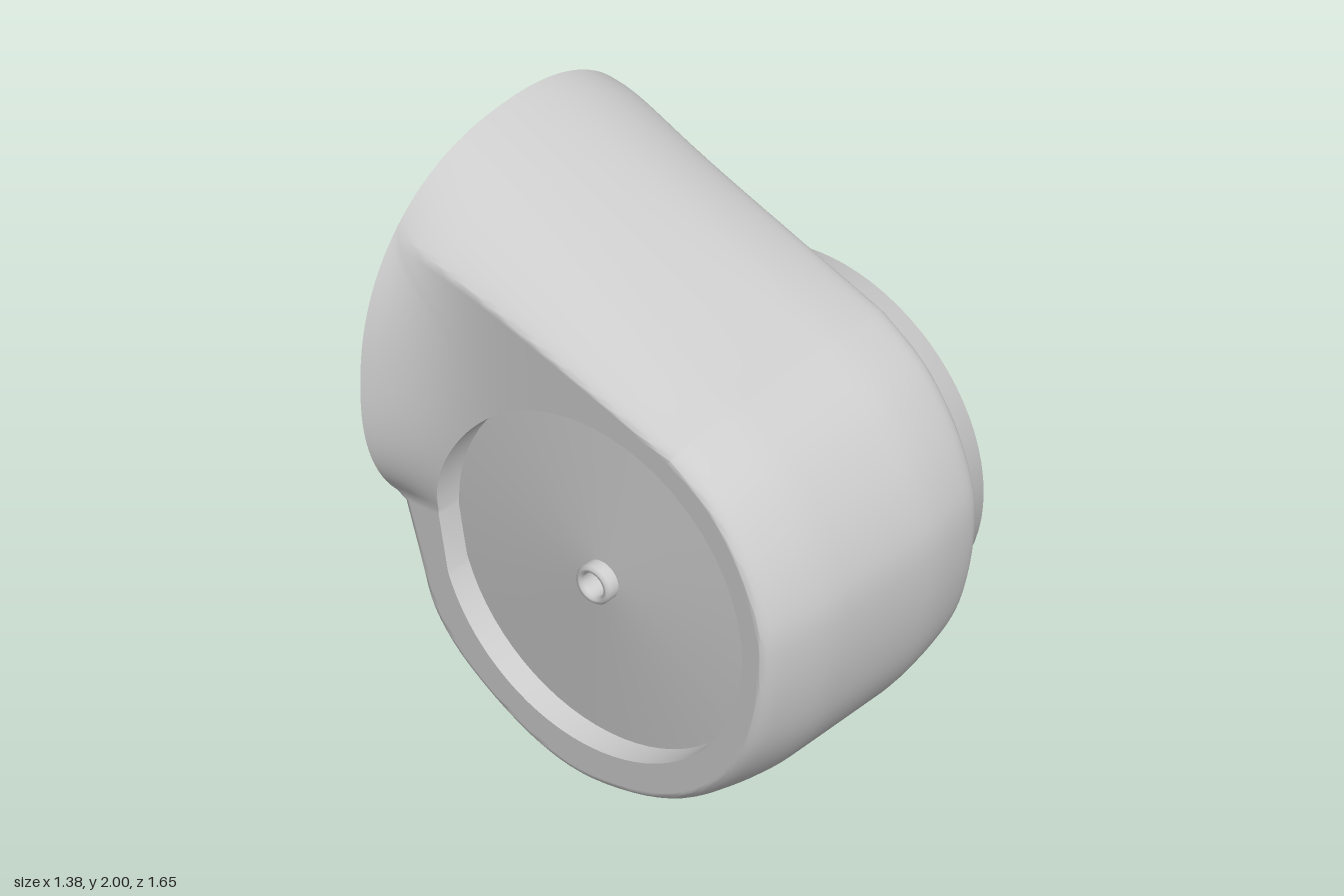
import * as THREE from 'three';
import { toCreasedNormals } from 'three/addons/utils/BufferGeometryUtils.js';

const HUB = { z: 0.07, y: 0.8 };   // axis of the side opening
const HALF = 0.515;                // half width of the housing
const BACK = -0.71;                // plane of the rear flange
const FLANGE_Y = 1.31, FLANGE_R = 0.692, POWER = 2.25;
const OPENING_R = 0.612;

// Rounded outline of the drum seen from the side, as (z, y)
const outline = new THREE.SplineCurve([
  [0.42, 1.49], [0.6, 1.36], [0.73, 1.18], [0.805, 0.99], [0.823, 0.83], [0.80, 0.62],
  [0.74, 0.42], [0.63, 0.25], [0.48, 0.12], [0.3, 0.04], [0.07, 0.003], [-0.11, 0.027],
  [-0.3, 0.11], [-0.5, 0.25], [-0.615, 0.39], [-0.665, 0.53],
].map(([z, y]) => new THREE.Vector2(z, y))).getPoints(60);
const LOWER_SEAM = 48;

// Half size of the flange's squarish circle at a given offset from its centre
const flangeSpan = (d) =>
  FLANGE_R * Math.pow(Math.max(0, 1 - Math.pow(Math.abs(d) / FLANGE_R, POWER)), 1 / POWER);

// Half width of the side wall, flaring out towards the flange
const wallX = (z, y) => HALF +
  Math.max(0, flangeSpan(y - FLANGE_Y) - HALF) * Math.pow(Math.max(0, z / BACK), 5);

// Drum crown: flat middle, sloped shoulder, rounded edge
function crownInset(x) {
  const shoulder = Math.max(0, Math.abs(x) - 0.22) / (HALF - 0.22);
  return 0.065 * Math.pow(shoulder, 1.5) + 0.025 * Math.pow(Math.abs(x) / HALF, 30);
}

// Closed side profile at one x: drum curve, small step, flange plane, sloping top
function profileAt(x) {
  const inset = 1 - crownInset(x);
  const pts = outline.map((p) => [HUB.z + (p.x - HUB.z) * inset, HUB.y + (p.y - HUB.y) * inset]);
  const start = pts[0], span = flangeSpan(x);
  const low = FLANGE_Y - span, high = FLANGE_Y + span;
  pts.push([-0.672, low - 0.02]);
  for (let i = 0; i <= 32; i++) pts.push([BACK, low + (high - low) * i / 32]);
  for (let i = 1; i <= 24; i++) {
    const t = i / 24;
    pts.push([BACK + (start[0] - BACK) * t, high + (start[1] - high) * t]);
  }
  return pts;
}

// Columns across the housing: one side wall, crown, other side wall
function housingColumns() {
  const edge = profileAt(HALF);
  // Ring between the opening (t = 0) and the outer edge (t = 1)
  const ring = (t, xAt) => edge.map(([z, y]) => {
    const d = Math.hypot(z - HUB.z, y - HUB.y);
    const f = (OPENING_R + (d - OPENING_R) * t) / d;
    const pz = HUB.z + (z - HUB.z) * f, py = HUB.y + (y - HUB.y) * f;
    return [xAt(pz, py), py, pz];
  });
  const wall = (side) => {
    const cols = [ring(0, () => side * 0.4)];
    for (let k = 0; k < 12; k++) cols.push(ring(k / 12, (z, y) => side * wallX(z, y)));
    return cols;
  };
  const crown = [];
  for (let k = -14; k <= 14; k++) {
    const s = Math.sin((k / 14) * Math.PI / 2);
    crown.push(profileAt(s * HALF).map(([z, y], i) => [s * wallX(...edge[i]), y, z]));
  }
  return [...wall(-1), ...crown, ...wall(1).reverse()];
}

// Skin a range of profile points across all columns
function skin(columns, from, to) {
  const rows = to - from + 1, position = [], index = [];
  columns.forEach((col) => {
    for (let i = from; i <= to; i++) position.push(...col[i]);
  });
  for (let j = 0; j < columns.length - 1; j++) {
    for (let i = 0; i < rows - 1; i++) {
      const a = j * rows + i, b = a + 1, c = a + rows, d = c + 1;
      index.push(a, b, d, a, d, c);
    }
  }
  const g = new THREE.BufferGeometry();
  g.setAttribute('position', new THREE.Float32BufferAttribute(position, 3));
  g.setIndex(index);
  return toCreasedNormals(g, 1.2);
}

const lathe = (points) =>
  new THREE.LatheGeometry(points.map(([r, h]) => new THREE.Vector2(r, h)), 72);

export function createModel() {
  const group = new THREE.Group();
  const grey = new THREE.MeshStandardMaterial({ color: 0xcccccc, side: THREE.DoubleSide });
  grey.name = 'light grey';
  const add = (name, geometry) => {
    const mesh = new THREE.Mesh(geometry, grey);
    mesh.name = name;
    group.add(mesh);
    return mesh;
  };

  // Two-part housing, split at the front seam and the underside seam
  const columns = housingColumns();
  add('lowerHousing', skin(columns, 0, LOWER_SEAM));
  add('upperHousing', skin(columns, LOWER_SEAM, columns[0].length - 1));

  // Side drum filling the opening, with a bore through it; its inner face rises to the hub
  const drum = add('sideDrum', lathe([
    [0.61, -0.42], [0.61, 0.65], [0.1, 0.65], [0.05, 0.65], [0.043, 0.645],
    [0.043, -0.46], [0.07, -0.46], [0.61, -0.42],
  ]));
  // Raised collar around the bore on the recessed side
  const collar = add('hubCollar', lathe([
    [0.043, -0.45], [0.043, -0.5], [0.05, -0.51], [0.06, -0.51], [0.068, -0.5], [0.068, -0.45],
  ]));
  [drum, collar].forEach((m) => {
    m.rotation.z = -Math.PI / 2;
    m.position.set(0, HUB.y, HUB.z);
  });

  // Round mounting boss on the rear flange
  const boss = add('rearBoss', lathe([[0.445, 0], [0.445, 0.117], [0, 0.117]]));
  boss.rotation.x = -Math.PI / 2;
  boss.position.set(0, 1.287, BACK);

  return group;
}
